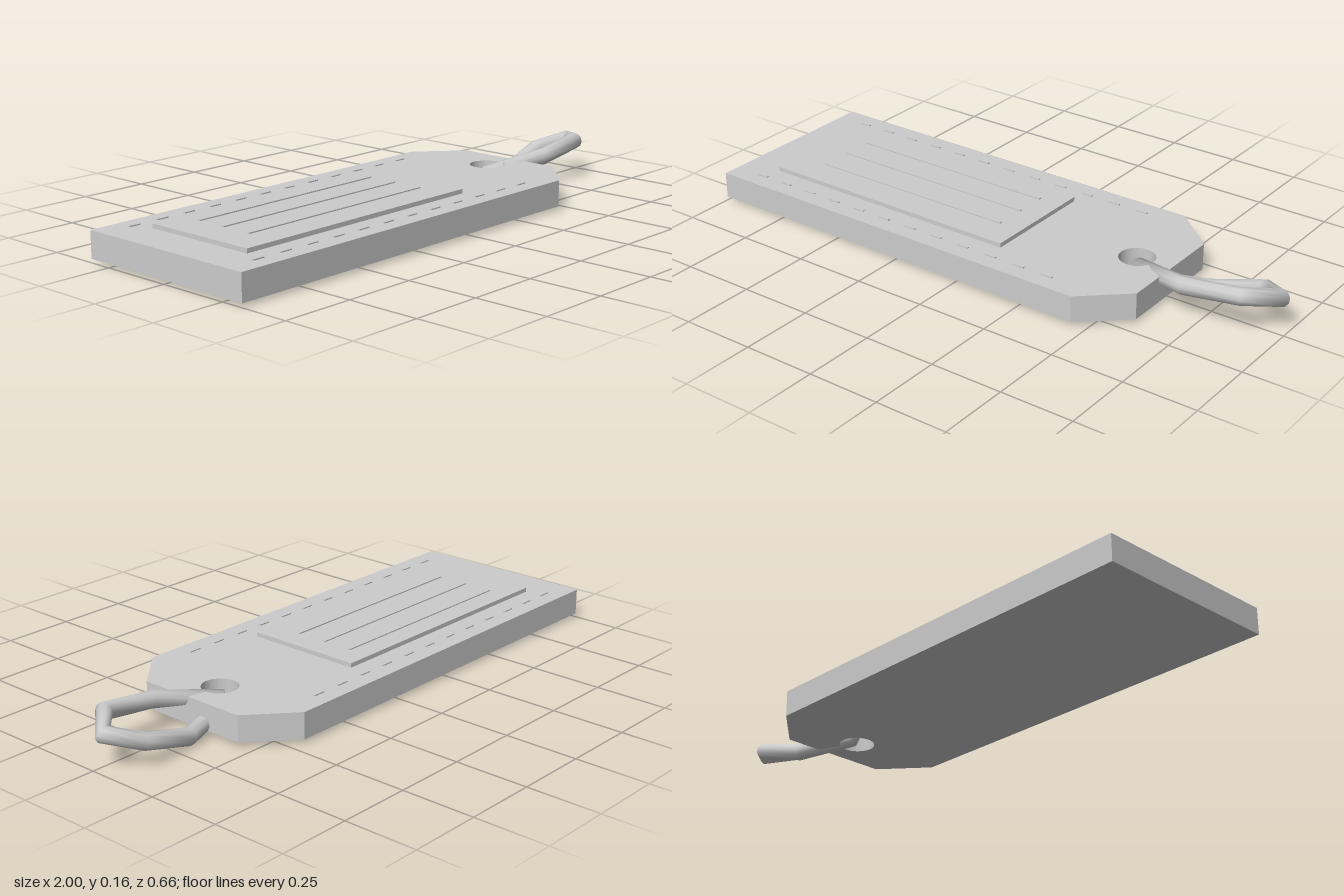
import * as THREE from 'three';

export function createModel() {
  const group = new THREE.Group();
  const grey = new THREE.MeshStandardMaterial({ color: 0xcccccc });
  grey.name = 'light grey';

  const add = (name, geometry, x = 0, y = 0, z = 0) => {
    const mesh = new THREE.Mesh(geometry, grey);
    mesh.name = name;
    mesh.position.set(x, y, z);
    group.add(mesh);
  };

  // Tag body: slab with two clipped corners and a round hole
  const outline = new THREE.Shape([
    [-1, -0.33], [0.45, -0.33], [0.6, -0.197], [0.6, 0.197], [0.45, 0.33], [-1, 0.33],
  ].map(([x, y]) => new THREE.Vector2(x, y)));
  outline.holes.push(new THREE.Path().absarc(0.475, 0, 0.06, 0, Math.PI * 2, true));
  const body = new THREE.ExtrudeGeometry(outline, { depth: 0.09, bevelEnabled: false, curveSegments: 24 });
  body.rotateX(-Math.PI / 2);
  add('tagBody', body, 0, 0.015, 0);

  // Raised label with three writing lines
  add('labelPlate', new THREE.BoxGeometry(0.955, 0.017, 0.412), -0.385, 0.1115, 0);
  for (const z of [-0.125, -0.018, 0.093]) {
    add('writingLine', new THREE.BoxGeometry(0.76, 0.006, 0.01), -0.37, 0.121, z);
  }

  // Stitches along both long edges
  const stitch = new THREE.BoxGeometry(0.042, 0.006, 0.008);
  for (const z of [-0.27, 0.27]) {
    for (let i = 0; i < 12; i++) add('stitch', stitch, -0.88 + i * 0.109, 0.106, z);
  }

  // Angular cord loop through the hole, one tube ring per corner
  const corners = [
    [0.485, 0.076, 0], [0.69, 0.108, 0.076], [0.885, 0.134, 0.072], [0.972, 0.116, -0.02],
    [0.88, 0.085, -0.093], [0.69, 0.03, -0.078], [0.495, 0.036, -0.012],
  ].map((p) => new THREE.Vector3(...p));
  const path = new THREE.CatmullRomCurve3(corners, true);
  path.getPointAt = path.getPoint;
  path.getTangentAt = path.getTangent;
  add('cordLoop', new THREE.TubeGeometry(path, corners.length, 0.029, 10, true));

  return group;
}
